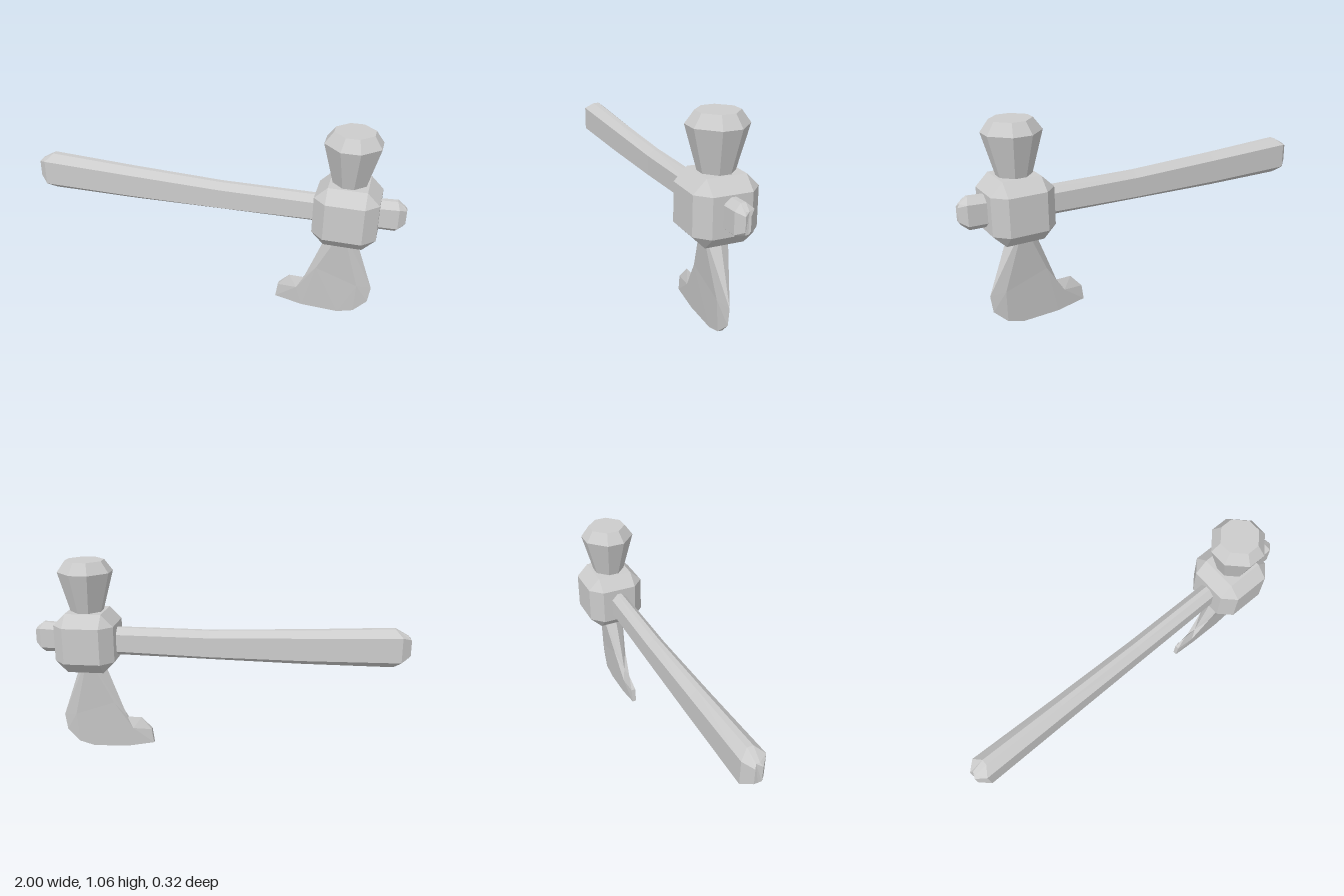
import * as THREE from 'three';
import { ConvexGeometry } from 'three/addons/geometries/ConvexGeometry.js';

const material = new THREE.MeshStandardMaterial({ color: 0xcccccc, flatShading: true });

function flatGeometry(points, triangles) {
  const indexed = new THREE.BufferGeometry();
  indexed.setAttribute('position', new THREE.Float32BufferAttribute(points.flat(), 3));
  indexed.setIndex(triangles.flat());
  const geometry = indexed.toNonIndexed();
  geometry.computeVertexNormals();
  return geometry;
}

// Skin through equal-sized rings, closed at both ends
function loft(rings) {
  const n = rings[0].length, last = (rings.length - 1) * n, tris = [];
  for (let r = 0; r < rings.length - 1; r++) {
    for (let i = 0; i < n; i++) {
      const a = r * n + i, b = r * n + (i + 1) % n;
      tris.push([a, b, b + n], [a, b + n, a + n]);
    }
  }
  for (let i = 1; i < n - 1; i++) {
    tris.push([0, i + 1, i], [last, last + i, last + i + 1]);
  }
  return flatGeometry(rings.flat(), tris);
}

// Handle: narrow-topped octagon, thicker towards the butt
function handleGeometry() {
  // x of top and bottom, x of sides, top, bottom, side top, side bottom, half depth, half ridge
  const sections = [
    [-0.985, -1, 0.697, 0.575, 0.68, 0.595, 0.02, 0.01],
    [-0.915, -0.95, 0.735, 0.53, 0.7, 0.567, 0.062, 0.016],
    [-0.45, -0.45, 0.714, 0.531, 0.681, 0.559, 0.053, 0.014],
    [0.05, 0.05, 0.697, 0.54, 0.665, 0.561, 0.047, 0.012],
    [0.55, 0.55, 0.7, 0.55, 0.667, 0.574, 0.045, 0.012],
    [0.952, 0.965, 0.72, 0.555, 0.69, 0.585, 0.047, 0.012],
    [0.99, 1, 0.692, 0.588, 0.675, 0.605, 0.013, 0.008],
  ];
  return loft(sections.map(([x, sx, t, b, st, sb, h, n]) => [
    [x, t, -n], [x, t, n], [sx, st, h], [sx, sb, h],
    [x, b, n], [x, b, -n], [sx, sb, -h], [sx, st, -h],
  ]));
}

// Hub: cube with every edge and corner chamfered
function hubGeometry() {
  const a = 0.161, b = 0.097, points = [];
  for (const x of [-1, 1]) for (const y of [-1, 1]) for (const z of [-1, 1]) {
    points.push(
      new THREE.Vector3(x * a, y * b, z * b),
      new THREE.Vector3(x * b, y * a, z * b),
      new THREE.Vector3(x * b, y * b, z * a));
  }
  return new ConvexGeometry(points);
}

// Hammer: flaring octagonal poll with a bevelled face
function hammerGeometry() {
  const sections = [[0.7, 0.06, 0.02], [1, 0.138, 0.048], [1.06, 0.097, 0.034]];
  return loft(sections.map(([y, a, b]) => [
    [-b, y, a], [b, y, a], [a, y, b], [a, y, -b],
    [b, y, -a], [-b, y, -a], [-a, y, -b], [-a, y, b],
  ]));
}

// Blade: flat cheeks bordered by facets that meet in a sharp rim
function bladeGeometry() {
  const cheek = [
    [0.705, 0.55, 0.068],   // 0 root
    [0.58, 0.275, 0.034],   // 1
    [0.48, 0.12, 0.02],     // 2
    [0.377, 0.115, 0.012],  // 3 toe top
    [0.366, 0.035, 0.011],  // 4 toe tip
    [0.516, 0.006, 0.011],  // 5 cutting edge
    [0.71, 0, 0.011],       // 6
    [0.794, 0.025, 0.012],  // 7
    [0.8, 0.195, 0.026],    // 8
  ];
  const rim = [
    [0.65, 0.55, 0],        // 18 root, inner side
    [0.515, 0.18, 0],       // 19
    [0.435, 0.18, 0],       // 20
    [0.875, 0.18, 0],       // 21 heel
    [0.863, 0.09, 0],       // 22
    [0.741, 0.55, 0],       // 23 root, outer side
  ];
  const points = [...cheek, ...cheek.map(([x, y, z]) => [x, y, -z]), ...rim];
  const front = [
    [0, 1, 8], [1, 2, 5], [2, 3, 4], [2, 4, 5], [1, 5, 6], [1, 6, 8], [6, 7, 8],
    [0, 18, 19], [0, 19, 1], [1, 19, 2], [2, 19, 20], [2, 20, 3],
    [0, 8, 21], [0, 21, 23], [8, 22, 21], [8, 7, 22],
  ];
  const mirrored = (i) => (i < 9 ? i + 9 : i);
  const back = front.map(([a, b, c]) => [mirrored(a), mirrored(c), mirrored(b)]);
  // Narrow strip along the cutting edge
  const edge = [[20, 12, 3], [7, 16, 22], [0, 23, 18], [9, 18, 23]];
  for (let i = 3; i < 7; i++) edge.push([i, i + 9, i + 10], [i, i + 10, i + 1]);
  return flatGeometry(points, [...front, ...back, ...edge]);
}

export function createModel() {
  const group = new THREE.Group();
  group.name = 'hammerAxe';
  const add = (name, geometry, x = 0, y = 0) => {
    const mesh = new THREE.Mesh(geometry, material);
    mesh.name = name;
    mesh.position.set(x, y, 0);
    group.add(mesh);
  };
  add('handle', handleGeometry());
  add('hub', hubGeometry(), 0.71, 0.628);
  add('hammerHead', hammerGeometry(), 0.71, 0);
  add('axeBlade', bladeGeometry());
  return group;
}
